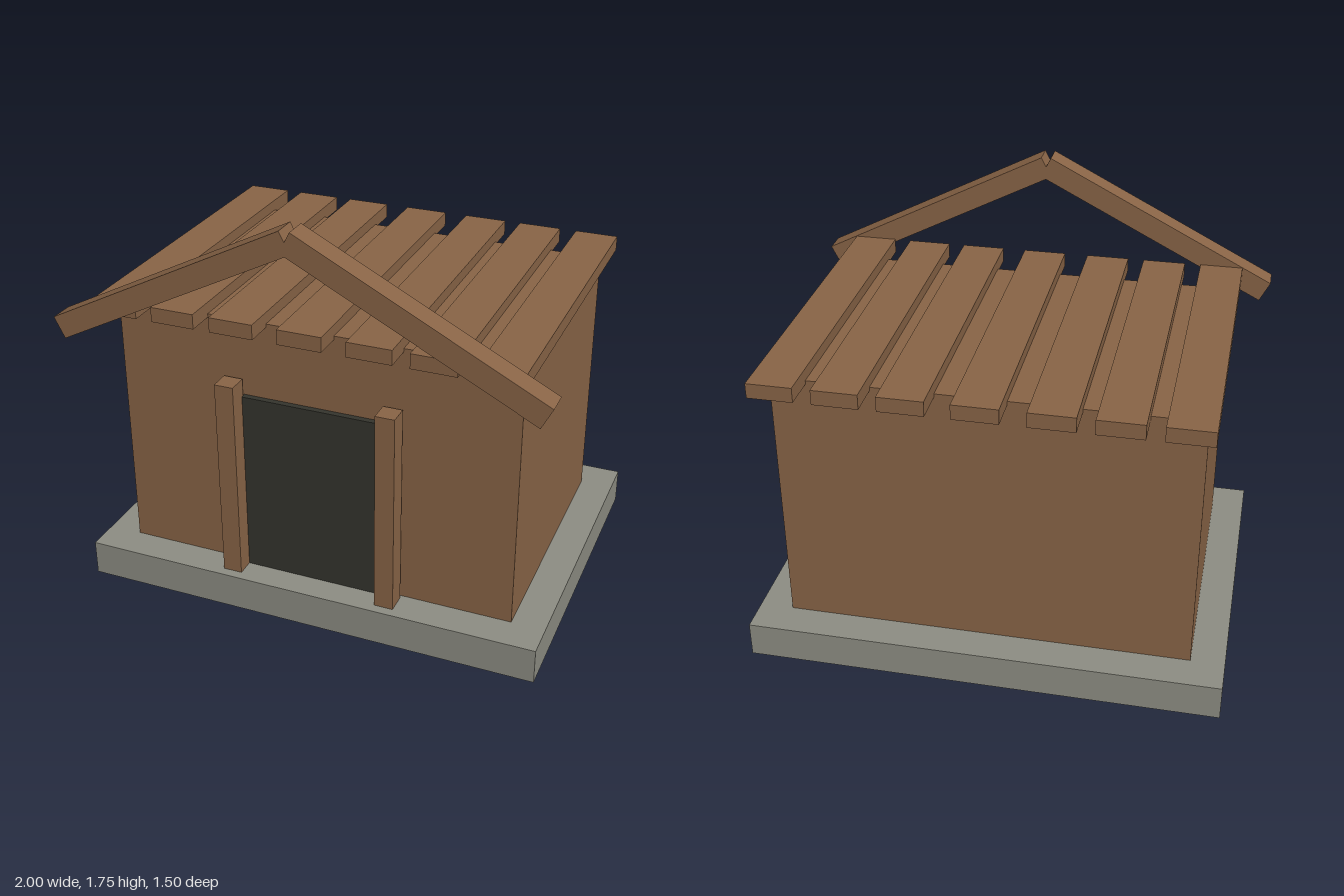
import * as THREE from 'three';

const material = (name, color) => {
  const m = new THREE.MeshStandardMaterial({ color });
  m.name = name;
  return m;
};

export function createModel() {
  const model = new THREE.Group();
  model.name = 'hut';
  const wood = material('brown wood', 0x8a6547);
  const stone = material('grey stone', 0x8e8e84);
  const dark = material('dark doorway', 0x35352e);

  // Box given by its extents along each axis
  const block = (name, mat, [x0, x1], [y0, y1], [z0, z1]) => {
    const mesh = new THREE.Mesh(new THREE.BoxGeometry(x1 - x0, y1 - y0, z1 - z0), mat);
    mesh.position.set((x0 + x1) / 2, (y0 + y1) / 2, (z0 + z1) / 2);
    mesh.name = name;
    model.add(mesh);
    return mesh;
  };

  block('foundation', stone, [-0.977, 0.977], [0, 0.15], [-0.75, 0.67]);
  block('walls', wood, [-0.838, 0.838], [0.15, 1.265], [-0.605, 0.53]);
  block('doorway', dark, [-0.298, 0.298], [0.15, 0.94], [0.525, 0.555]);

  // Roof planks, running front to back with uneven gaps
  for (const x of [-0.783, -0.533, -0.283, 0, 0.28, 0.53, 0.783]) {
    block('roofPlank', wood, [x - 0.091, x + 0.091], [1.25, 1.312], [-0.75, 0.65]);
  }

  // Door posts and sloping gable beams, mirrored
  for (const [side, s] of [['left', 1], ['right', -1]]) {
    const x = s * 0.336;
    block(side + 'DoorPost', wood, [x - 0.04, x + 0.04], [0.15, 1.015], [0.545, 0.63]);

    const beam = block(side + 'GableBeam', wood, [-0.55, 0.55], [-0.0475, 0.0475], [0.65, 0.75]);
    beam.position.x = s * 0.489;
    beam.position.y = 1.457;
    beam.rotation.z = -s * 0.472;
  }

  return model;
}
